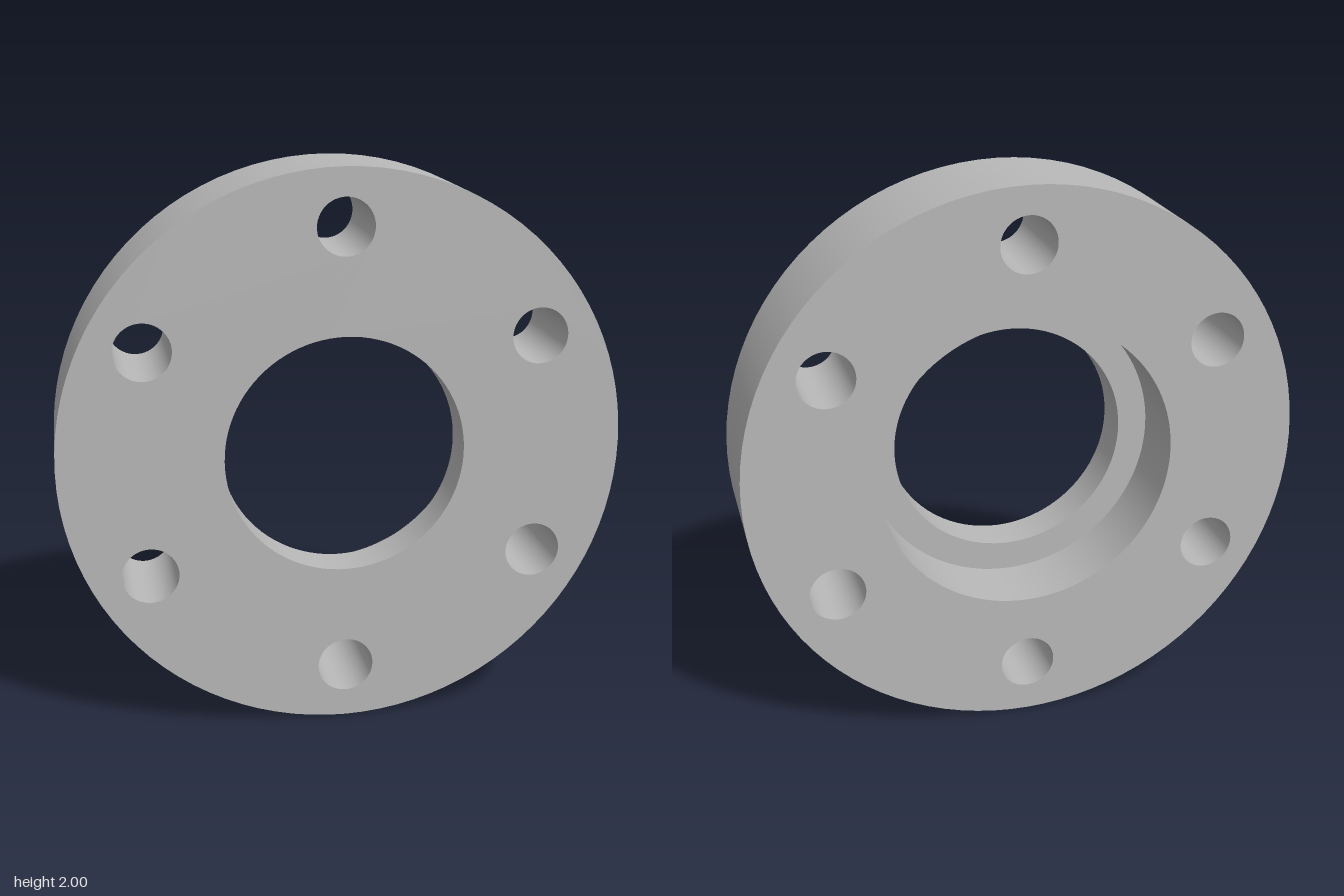
import * as THREE from 'three';

const SEGMENTS = 96;
const HALF = 0.2;        // half thickness
const OUTER = 1;
const BORE = 0.425;      // narrow bore at the front
const COUNTERBORE = 0.533; // wider recess at the back
const STEP_Z = 0.05;     // floor of the recess
const BOLT_R = 0.1;
const BOLT_CIRCLE = 0.8;
const BOLTS = 6;

export function createModel() {
  const model = new THREE.Group();
  model.name = 'flange';
  const steel = new THREE.MeshStandardMaterial({ color: 0xb8b8b8 });
  steel.name = 'grey steel';

  const disc = new THREE.Group();
  disc.name = 'flangeDisc';
  disc.position.y = OUTER;
  model.add(disc);

  const add = (name, geometry, x = 0, y = 0) => {
    const mesh = new THREE.Mesh(geometry, steel);
    mesh.name = name;
    mesh.position.set(x, y, 0);
    disc.add(mesh);
  };

  // Surface swept round the z axis from [radius, z] to [radius, z]
  const turned = (from, to) =>
    new THREE.LatheGeometry([new THREE.Vector2(...from), new THREE.Vector2(...to)], SEGMENTS)
      .rotateX(Math.PI / 2);

  const boltCentres = Array.from({ length: BOLTS }, (_, i) => {
    const angle = Math.PI / 2 + (i * 2 * Math.PI) / BOLTS;
    return [BOLT_CIRCLE * Math.cos(angle), BOLT_CIRCLE * Math.sin(angle)];
  });

  // Flat ring pierced by the central opening and the bolt holes
  const piercedFace = (opening) => {
    const shape = new THREE.Shape().absarc(0, 0, OUTER, 0, Math.PI * 2);
    const pierce = (x, y, r) => shape.holes.push(new THREE.Path().absarc(x, y, r, 0, Math.PI * 2, true));
    pierce(0, 0, opening);
    for (const [x, y] of boltCentres) pierce(x, y, BOLT_R);
    return new THREE.ShapeGeometry(shape, SEGMENTS / 2);
  };

  // Front and back faces
  add('frontFace', piercedFace(BORE).translate(0, 0, HALF));
  add('backFace', piercedFace(COUNTERBORE).rotateY(Math.PI).translate(0, 0, -HALF));

  // Rim, bore and stepped recess
  add('outerRim', turned([OUTER, -HALF], [OUTER, HALF]));
  add('boreWall', turned([BORE, HALF], [BORE, STEP_Z]));
  add('recessStep', turned([BORE, STEP_Z], [COUNTERBORE, STEP_Z]));
  add('recessWall', turned([COUNTERBORE, STEP_Z], [COUNTERBORE, -HALF]));

  // Bolt hole walls
  for (const [x, y] of boltCentres) add('boltHoleWall', turned([BOLT_R, HALF], [BOLT_R, -HALF]), x, y);

  return model;
}
